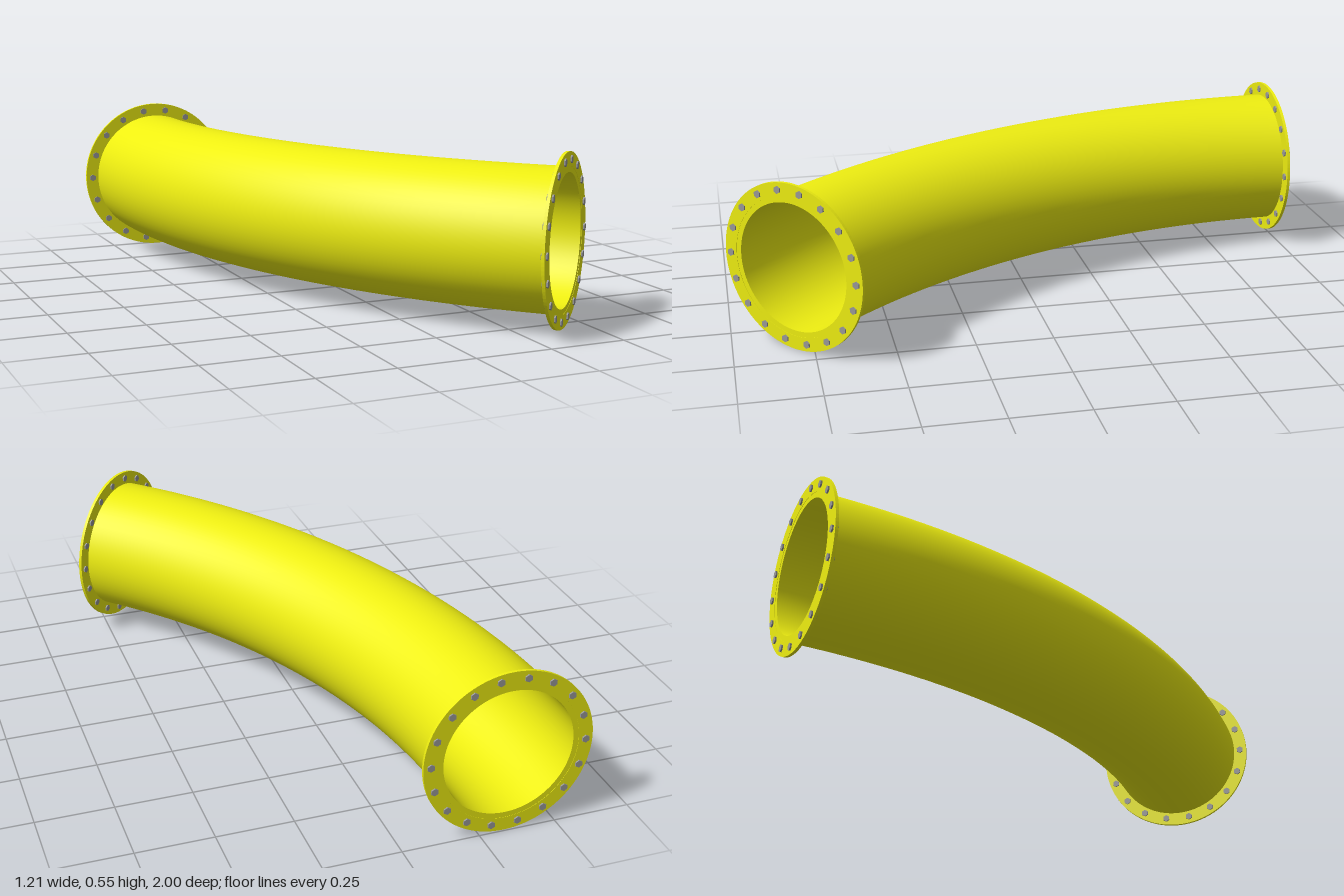
import * as THREE from 'three';

const BEND = 2.532;        // centreline radius of the bend
const SWEEP = Math.PI / 4; // bend angle
const OUTER = 0.228, INNER = 0.21, RIM = 0.2735;
const THICK = 0.01, BOLTS = 18, BOLT_CIRCLE = 0.25;
const START = new THREE.Vector3(-0.332, RIM, -0.99);

const yellow = new THREE.MeshStandardMaterial({ color: 0xeeee11 });
const yellowWall = new THREE.MeshStandardMaterial({ color: 0xeeee11, side: THREE.DoubleSide });
const steel = new THREE.MeshStandardMaterial({ color: 0x999999, flatShading: true });

function add(parent, name, geometry, material) {
  const mesh = new THREE.Mesh(geometry, material);
  mesh.name = name;
  parent.add(mesh);
  return mesh;
}

// Curved pipe wall, starting at START and heading +z, bending towards +x
function bentWall(radius) {
  return new THREE.TorusGeometry(BEND, radius, 64, 64, SWEEP)
    .rotateX(Math.PI / 2)
    .rotateZ(Math.PI)
    .translate(START.x + BEND, START.y, START.z);
}

// Flat ring centred on its own thickness, along z
function ring(outer, inner, depth) {
  const shape = new THREE.Shape().absarc(0, 0, outer, 0, Math.PI * 2);
  shape.holes.push(new THREE.Path().absarc(0, 0, inner, 0, Math.PI * 2, true));
  return new THREE.ExtrudeGeometry(shape, { depth, bevelEnabled: false, curveSegments: 64 })
    .translate(0, 0, -depth / 2);
}

// Bolted flange whose local +z points out of the pipe
function flange(name) {
  const group = new THREE.Group();
  group.name = name;
  add(group, 'flangePlate', ring(RIM, OUTER, THICK), yellow);
  add(group, 'pipeLip', ring(OUTER, INNER, THICK * 0.8), yellow);
  // Hex bolts pass through the plate and show on both faces
  const bolt = new THREE.CylinderGeometry(0.0125, 0.0125, 0.02, 6).rotateX(Math.PI / 2);
  for (let i = 0; i < BOLTS; i++) {
    const a = ((i + 0.5) / BOLTS) * Math.PI * 2 + Math.PI / 2;
    add(group, 'bolt', bolt, steel)
      .position.set(BOLT_CIRCLE * Math.cos(a), BOLT_CIRCLE * Math.sin(a), 0);
  }
  return group;
}

export function createModel() {
  const model = new THREE.Group();
  model.name = 'flangedPipeBend';

  add(model, 'pipeOuterWall', bentWall(OUTER), yellow);
  add(model, 'pipeInnerWall', bentWall(INNER), yellowWall);

  const back = flange('backFlange');
  back.position.copy(START);
  back.rotation.y = Math.PI;

  const front = flange('frontFlange');
  front.position.set(
    START.x + BEND * (1 - Math.cos(SWEEP)), START.y, START.z + BEND * Math.sin(SWEEP));
  front.rotation.y = SWEEP;

  model.add(back, front);
  return model;
}
